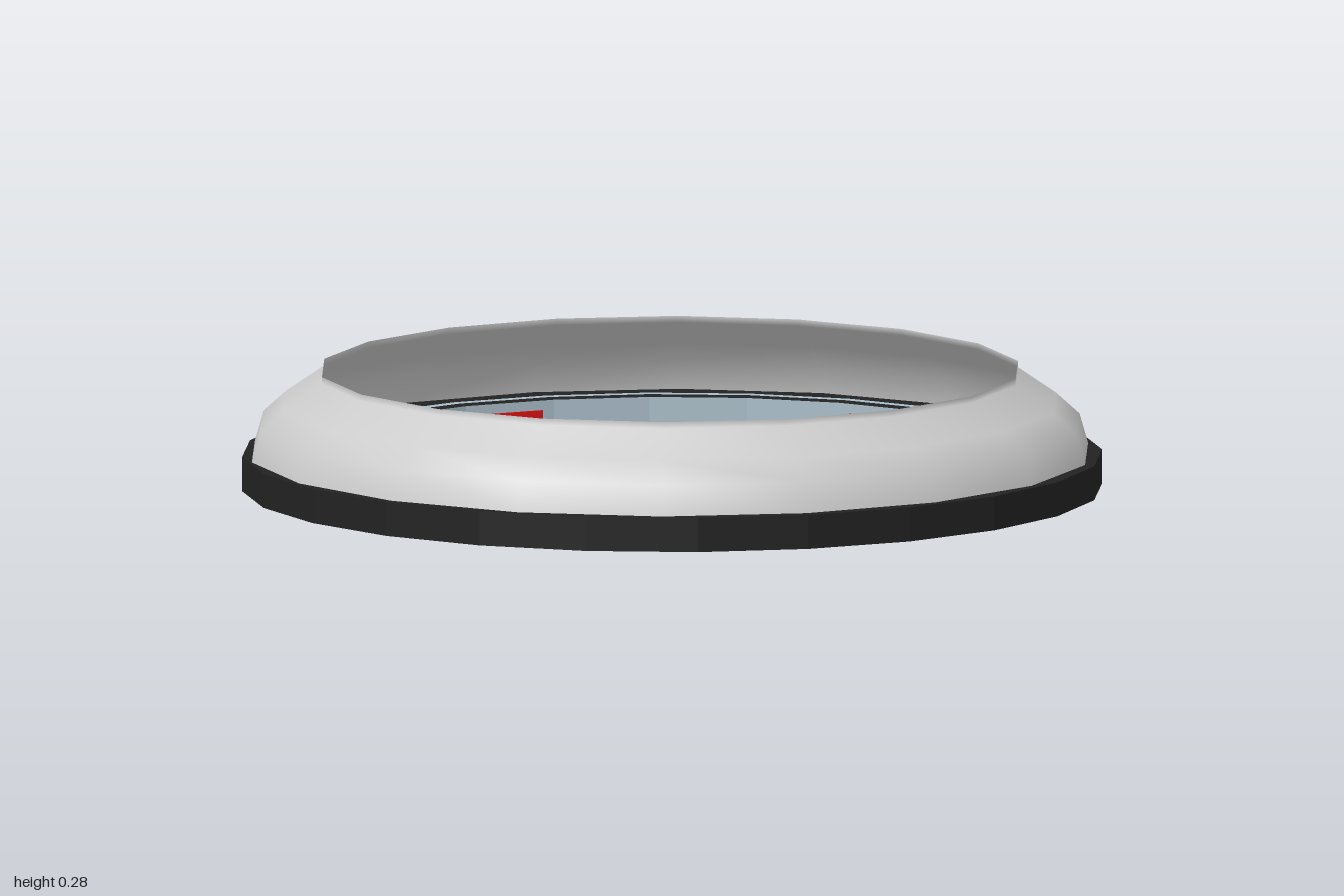
import * as THREE from 'three';

const RAD = Math.PI / 180;
const SIDES = 24, RING_START = 4.6 * RAD;
const OUTER = 1.003, INNER = 0.87, RING_TOP = 0.08;

function lathe(name, profile, sides, start, color, flat) {
  const points = profile.map(([r, y]) => new THREE.Vector2(r, y));
  const mesh = new THREE.Mesh(
    new THREE.LatheGeometry(points, sides, start, Math.PI * 2),
    new THREE.MeshStandardMaterial({ color, flatShading: flat, side: THREE.DoubleSide })
  );
  mesh.name = name;
  return mesh;
}

export function createModel() {
  const model = new THREE.Group();
  model.name = 'ringHousing';

  // Faceted dark base ring: underside, outer wall and top
  model.add(lathe('baseRing', [
    [INNER, 0], [OUTER, 0], [OUTER, RING_TOP], [INNER, RING_TOP]
  ], SIDES, RING_START, 0x222222, true));

  // Pale wall lining the opening, and a pale trim line on the ring's top
  model.add(lathe('innerLining', [[INNER, RING_TOP], [INNER, 0]],
    SIDES, RING_START, 0xa9bcc8, true));
  model.add(lathe('topTrim', [[0.925, 0.082], [0.9, 0.082]],
    SIDES, RING_START, 0xa9bcc8, true));

  // Smooth domed cover, open in the middle, with a short upright lip
  const cover = lathe('cover', [
    [0.985, RING_TOP], [0.965, 0.15], [0.91, 0.2], [0.82, 0.262], [0.82, 0.277]
  ], 18, 10 * RAD, 0xcccccc, false);
  cover.position.z = -0.01;
  model.add(cover);

  // Small red panels on some facets of the lining
  const panelGeometry = new THREE.BoxGeometry(0.17, 0.035, 0.004);
  const red = new THREE.MeshStandardMaterial({ color: 0xdd1111 });
  const apothem = INNER * Math.cos(Math.PI / SIDES);
  for (const facet of [1, 5, 7, 9, 11, 16, 19, 22]) {
    const angle = RING_START + Math.PI / 2 + (facet + 0.5) * 15 * RAD;
    const panel = new THREE.Mesh(panelGeometry, red);
    panel.name = 'redPanel';
    panel.position.set(Math.sin(angle) * apothem, RING_TOP / 2, Math.cos(angle) * apothem);
    panel.rotation.y = angle;
    model.add(panel);
  }
  return model;
}
